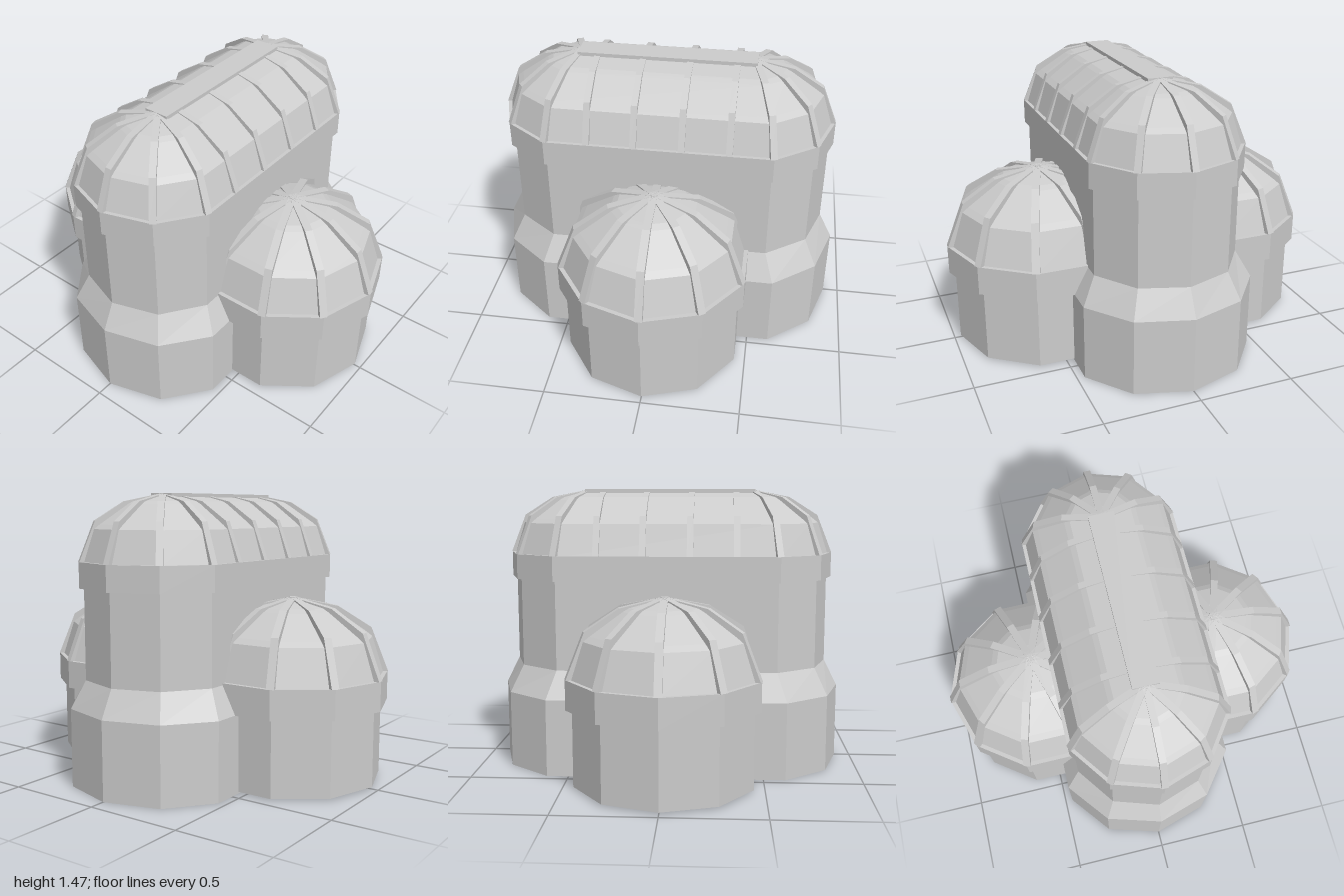
import * as THREE from 'three';

const STEP = Math.PI / 5; // ten-sided plans
const material = new THREE.MeshStandardMaterial({ color: 0xcccccc, flatShading: true, side: THREE.DoubleSide });

function addMesh(parent, name, geometry) {
  const mesh = new THREE.Mesh(geometry, material);
  mesh.name = name;
  parent.add(mesh);
  return mesh;
}

// Decagon with a corner towards +z, its halves pulled apart by c along z
function outline(rx, c, rz = rx) {
  return Array.from({ length: 10 }, (_, i) => {
    const cos = Math.cos(i * STEP);
    return [rx * Math.sin(i * STEP), rz * cos + Math.sign(cos) * c];
  });
}

// Closed solid through stacked outlines; each level is { y, pts }
function loft(levels) {
  const pos = [];
  const put = (l, i) => pos.push(l.pts[i % 10][0], l.y, l.pts[i % 10][1]);
  for (let k = 0; k < levels.length - 1; k++) {
    const a = levels[k], b = levels[k + 1];
    for (let i = 0; i < 10; i++) {
      put(a, i); put(a, i + 1); put(b, i + 1);
      put(a, i); put(b, i + 1); put(b, i);
    }
  }
  const bottom = levels[0], top = levels[levels.length - 1];
  for (let i = 1; i < 9; i++) {
    put(bottom, 0); put(bottom, i + 1); put(bottom, i);
    put(top, 0); put(top, i); put(top, i + 1);
  }
  const geometry = new THREE.BufferGeometry();
  geometry.setAttribute('position', new THREE.Float32BufferAttribute(pos, 3));
  geometry.computeVertexNormals();
  return geometry;
}

// Curved bar from the springing line up to the crown, running along +x
function ribGeometry(stretch, width) {
  const profile = [
    [0.43, 0], [0.35, 0.2], [0.2, 0.295], [0, 0.336],
    [0, 0.29], [0.16, 0.25], [0.31, 0.15], [0.38, 0],
  ];
  const shape = new THREE.Shape(profile.map(([r, y]) => new THREE.Vector2(r * stretch, y)));
  const geometry = new THREE.ExtrudeGeometry(shape, { depth: width, bevelEnabled: false });
  return geometry.translate(0, 0, -width / 2);
}

// Glazed dome on a cornice; c > 0 draws it out into a vault. y = 0 is the springing line
function dome(name, c) {
  const group = new THREE.Group();
  group.name = name;
  addMesh(group, 'cornice', loft([-0.13, 0].map((y) => ({ y, pts: outline(0.431, c) }))));

  // Panel rows with a narrow bevel between them
  const rows = [[0.415, -0.01], [0.36, 0.16], [0.332, 0.182], [0.191, 0.28], [0.163, 0.295], [0.07, 0.317], [0.01, 0.32]];
  addMesh(group, 'panels', loft(rows.map(([r, y]) => ({ y, pts: outline(r, c) }))));

  // Ribs on every corner
  const rib = ribGeometry(1, 0.034);
  for (let i = 0; i < 10; i++) {
    const mesh = addMesh(group, 'cornerRib', rib);
    mesh.position.z = Math.sign(Math.cos(i * STEP)) * c;
    mesh.rotation.y = i * STEP - Math.PI / 2;
  }

  // Cross ribs and ridge along the vault
  if (c > 0) {
    const crossRib = ribGeometry(Math.sin(2 * STEP), 0.032);
    for (const z of [-0.355, -0.12, 0.12, 0.355]) {
      for (const turn of [0, Math.PI]) {
        const mesh = addMesh(group, 'crossRib', crossRib);
        mesh.position.z = z;
        mesh.rotation.y = turn;
      }
    }
    addMesh(group, 'ridge', new THREE.BoxGeometry(0.13, 0.03, 2 * c + 0.03)).position.y = 0.321;
  }
  return group;
}

export function createModel() {
  const model = new THREE.Group();
  model.name = 'domedHall';

  // Long central hall: wide plinth, sloped shoulder, tall wall
  const hall = new THREE.Group();
  hall.name = 'centralHall';
  const c = 0.44;
  const plinth = outline(0.484, 0.476, 0.442);
  const wall = outline(0.407, c);
  addMesh(hall, 'hallWalls', loft([
    { y: 0, pts: plinth }, { y: 0.4, pts: plinth }, { y: 0.54, pts: wall }, { y: 1.02, pts: wall },
  ]));
  const vault = dome('hallVault', c);
  vault.position.y = 1.13;
  hall.add(vault);
  model.add(hall);

  // Round domed wings on both sides
  for (const side of [1, -1]) {
    const wing = new THREE.Group();
    wing.name = side > 0 ? 'leftWing' : 'rightWing';
    addMesh(wing, 'wingWalls', loft([0.01, 0.42].map((y) => ({ y, pts: outline(0.467, 0) }))));
    const cap = dome('wingDome', 0);
    cap.scale.setScalar(1.16);
    cap.position.y = 0.55;
    wing.add(cap);
    wing.position.x = side * 0.5;
    wing.rotation.y = side * Math.PI / 2;
    model.add(wing);
  }
  return model;
}
